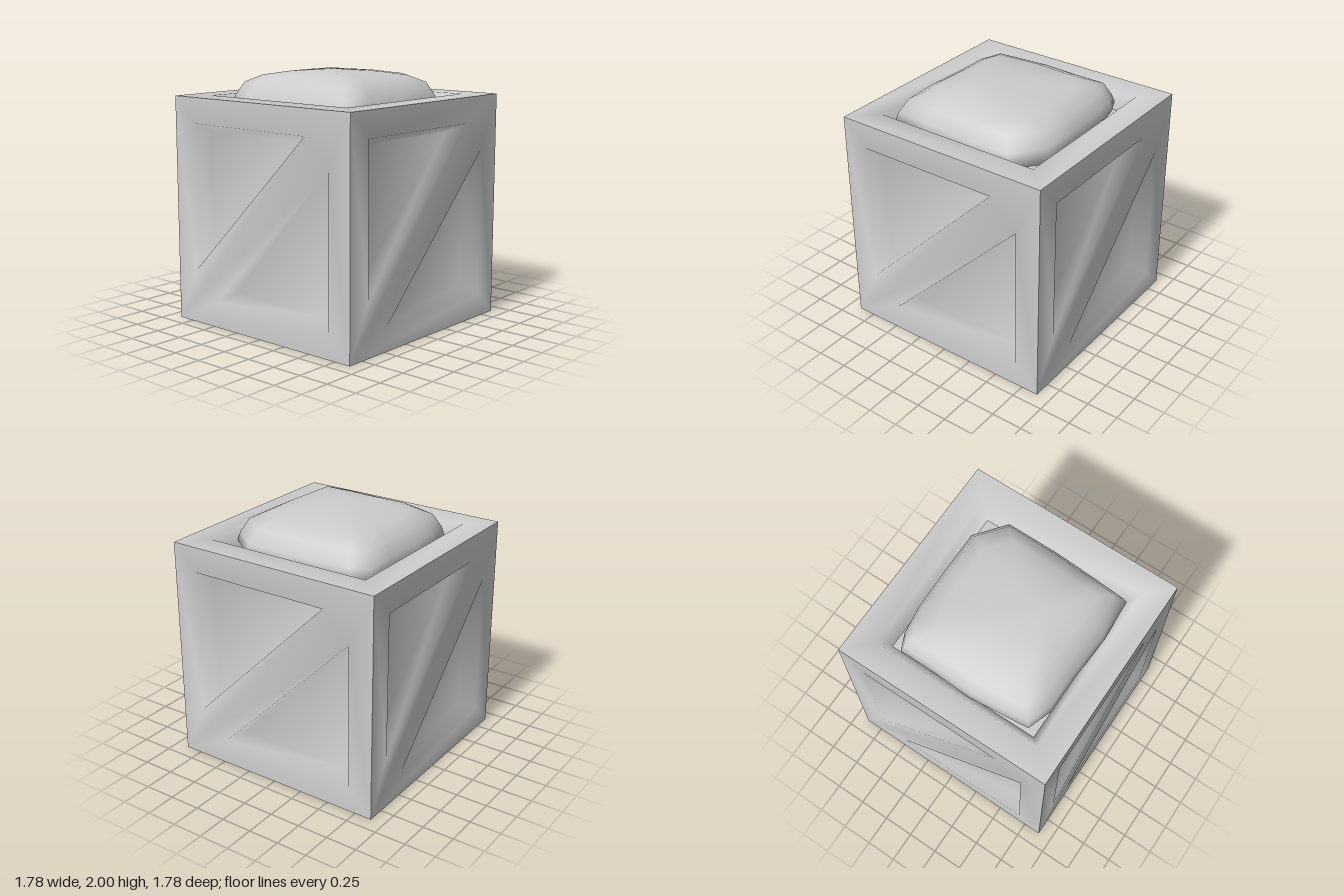
import * as THREE from 'three';

const HALF = 0.89;     // half the crate's edge
const OPEN = 0.69;     // frame opening at the surface
const INNER = 0.62;    // frame opening at the panel
const DEPTH = 0.13;    // recess depth

const grey = () => new THREE.MeshStandardMaterial({ color: 0xcccccc });

function smoothGeometry(positions, indices) {
  const g = new THREE.BufferGeometry();
  g.setAttribute('position', new THREE.Float32BufferAttribute(positions, 3));
  g.setIndex(indices);
  g.computeVertexNormals();
  return g;
}

const square = (h) => [[-h, -h], [h, -h], [h, h], [-h, h]];
// Triangle on one side of the diagonal brace; s = 1 upper left, -1 lower right
const triangle = (h, c, s) =>
  [[-h, h], [-h, c - h], [h - c, h]].map(([x, y]) => [x * s, y * s]);

// One crate side facing +z: flat frame, sloping recess walls, optional panels
function sideGeometry(recesses, withPanel) {
  const rings = [square(HALF), ...recesses.map((r) => r.outer)];
  const vec = (ring) => ring.map(([x, y]) => new THREE.Vector2(x, y));
  const positions = [];
  const starts = [];
  const add = (ring, z) => {
    const start = positions.length / 3;
    ring.forEach(([x, y]) => positions.push(x, y, z));
    return start;
  };
  rings.forEach((ring) => starts.push(add(ring, HALF)));
  const indices = THREE.ShapeUtils
    .triangulateShape(vec(rings[0]), rings.slice(1).map(vec)).flat();
  recesses.forEach(({ inner }, k) => {
    const o = starts[k + 1];
    const p = add(inner, HALF - DEPTH);
    const n = inner.length;
    for (let i = 0; i < n; i++) {
      const j = (i + 1) % n;
      indices.push(o + i, o + j, p + j, o + i, p + j, p + i);
    }
    if (withPanel) for (let i = 1; i < n - 1; i++) indices.push(p, p + i, p + i + 1);
  });
  return smoothGeometry(positions, indices);
}

// Lumpy sack: closed rings of one outline, shrinking towards an off-centre peak
function sackGeometry() {
  const outline = [
    [-0.65, 0.27], [-0.63, 0.61], [-0.35, 0.63], [0, 0.65], [0.44, 0.65],
    [0.63, 0.41], [0.63, 0.05], [0.62, -0.3], [0.59, -0.5], [0.53, -0.63],
    [0.25, -0.63], [-0.08, -0.645], [-0.35, -0.62], [-0.56, -0.6], [-0.63, -0.4], [-0.63, -0.1],
  ];
  const peak = [-0.2, 0.12];
  // scale, height, pull towards the peak
  const levels = [[0.92, 1.62, 0], [1, 1.71, 0], [0.97, 1.78, 0], [0.88, 1.885, 0],
    [0.7, 1.94, 0.1], [0.42, 1.975, 0.5]];
  const positions = [];
  const indices = [];
  const n = outline.length;
  levels.forEach(([s, y, pull], k) => {
    outline.forEach(([x, z]) =>
      positions.push(x * s + peak[0] * pull, y, z * s + peak[1] * pull));
    if (k === 0) return;
    const a = (k - 1) * n, b = k * n;
    for (let i = 0; i < n; i++) {
      const j = (i + 1) % n;
      indices.push(a + i, a + j, b + j, a + i, b + j, b + i);
    }
  });
  const top = positions.length / 3;
  positions.push(peak[0], 2, peak[1]);
  for (let i = 0; i < n; i++) indices.push(top - n + i, top - n + (i + 1) % n, top);
  return smoothGeometry(positions, indices);
}

export function createModel() {
  const model = new THREE.Group();
  model.name = 'crate';
  const body = new THREE.Group();
  body.name = 'crateBody';
  body.position.y = HALF;
  model.add(body);

  // Four braced walls and the braced base share one shape
  const braced = sideGeometry([1, -1].map((s) => ({
    outer: triangle(OPEN, 0.22, s), inner: triangle(INNER, 0.25, s),
  })), true);
  ['frontWall', 'leftWall', 'backWall', 'rightWall'].forEach((name, i) => {
    const wall = new THREE.Mesh(braced, grey());
    wall.name = name;
    wall.rotation.y = i * Math.PI / 2;
    body.add(wall);
  });
  const base = new THREE.Mesh(braced, grey());
  base.name = 'base';
  base.rotation.set(Math.PI / 2, 0, Math.PI / 2);
  body.add(base);

  // Open rim with a flat floor below the sack
  const rim = new THREE.Mesh(
    sideGeometry([{ outer: square(OPEN), inner: square(INNER) }], false), grey());
  rim.name = 'topRim';
  rim.rotation.x = -Math.PI / 2;
  body.add(rim);
  const floor = new THREE.Mesh(new THREE.PlaneGeometry(2 * INNER, 2 * INNER), grey());
  floor.name = 'topFloor';
  floor.rotation.x = -Math.PI / 2;
  floor.position.y = HALF - DEPTH;
  body.add(floor);

  const sack = new THREE.Mesh(sackGeometry(), grey());
  sack.name = 'sack';
  model.add(sack);
  return model;
}
